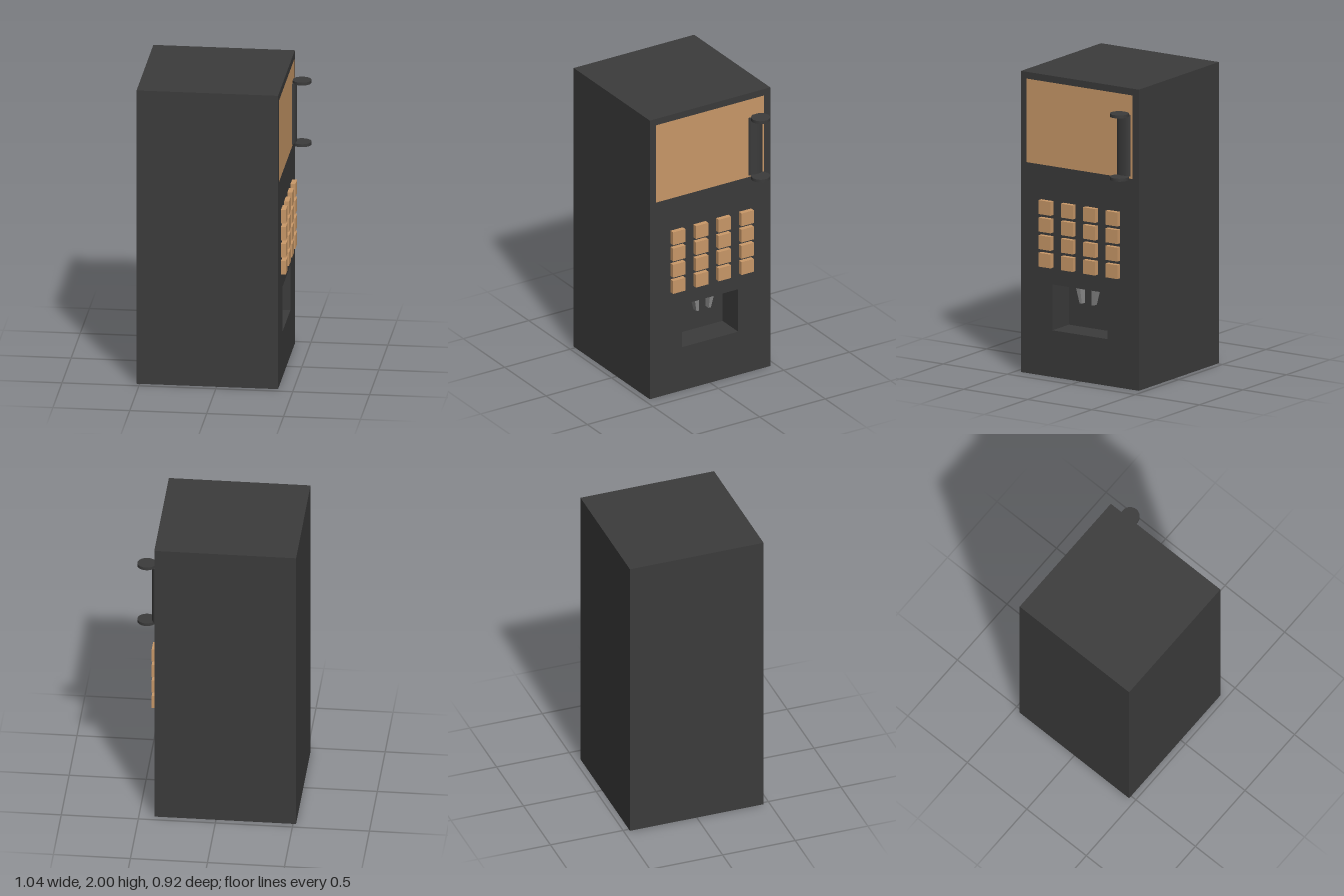
import * as THREE from 'three';

const dark = new THREE.MeshStandardMaterial({ color: 0x3b3b3b });
const darkInside = new THREE.MeshStandardMaterial({ color: 0x3b3b3b, side: THREE.BackSide });
const tan = new THREE.MeshStandardMaterial({ color: 0xc99868 });
const grey = new THREE.MeshStandardMaterial({ color: 0x888888, flatShading: true });

const FACE = 0.4; // x of the working face
const DEPTH = 0.19; // alcove depth

function add(parent, name, geometry, material, x = 0, y = 0, z = 0) {
  const mesh = new THREE.Mesh(geometry, material);
  mesh.name = name;
  mesh.position.set(x, y, z);
  parent.add(mesh);
  return mesh;
}

// Box without its +x side
function openBox(w, h, d) {
  const g = new THREE.BoxGeometry(w, h, d);
  g.setIndex(Array.from(g.index.array).slice(6));
  g.clearGroups();
  return g;
}

function rectangle(Type, x0, x1, y0, y1) {
  return new Type([[x0, y0], [x1, y0], [x1, y1], [x0, y1]].map(p => new THREE.Vector2(...p)));
}

export function createModel() {
  const model = new THREE.Group();
  model.name = 'dispenserMachine';

  // Cabinet, with a face that opens into the alcove
  const cabinet = new THREE.Group();
  cabinet.name = 'cabinet';
  model.add(cabinet);
  add(cabinet, 'cabinetShell', openBox(0.92, 2, 0.92), dark, -0.06, 1, 0);
  const face = rectangle(THREE.Shape, -0.46, 0.46, 0, 2);
  face.holes.push(rectangle(THREE.Path, -0.215, 0.215, 0.31, 0.615));
  add(cabinet, 'cabinetFace', new THREE.ShapeGeometry(face).rotateY(Math.PI / 2), dark, FACE);
  add(cabinet, 'alcove', openBox(DEPTH, 0.305, 0.43), darkInside, FACE - DEPTH / 2, 0.4625, 0);

  // Display panel
  const panel = new THREE.PlaneGeometry(0.825, 0.555).rotateY(Math.PI / 2);
  add(model, 'displayPanel', panel, tan, FACE + 0.002, 1.678, 0.002);

  // Four by four buttons
  const buttons = new THREE.Group();
  buttons.name = 'buttons';
  model.add(buttons);
  const button = new THREE.BoxGeometry(0.032, 0.092, 0.094);
  for (let row = 0; row < 4; row++) {
    for (let col = 0; col < 4; col++) {
      add(buttons, 'button', button, tan, FACE + 0.016, 0.774 + row * 0.1165, 0.255 - col * 0.174);
    }
  }

  // Nozzles: tapered blocks leaning towards each other
  for (const side of [1, -1]) {
    const g = new THREE.BoxGeometry(0.06, 0.12, 0.035);
    const p = g.attributes.position;
    for (let i = 0; i < p.count; i++) {
      if (p.getY(i) < 0) {
        p.setX(i, p.getX(i) * 0.6);
        p.setZ(i, p.getZ(i) * 0.5 - side * 0.016);
      }
    }
    add(model, 'nozzle', g, grey, FACE - 0.095, 0.555, side * 0.0625);
  }

  // Cup holder: flattened post against the face with a disc at each end
  const holder = new THREE.Group();
  holder.name = 'cupHolder';
  model.add(holder);
  const post = add(holder, 'post', new THREE.CylinderGeometry(1, 1, 0.41, 32), dark, FACE, 1.62, -0.344);
  post.scale.set(0.026, 1, 0.053);
  const disc = new THREE.CylinderGeometry(0.0615, 0.0615, 0.02, 32);
  for (const y of [1.41, 1.83]) add(holder, 'disc', disc, dark, 0.4595, y, -0.348);

  return model;
}
